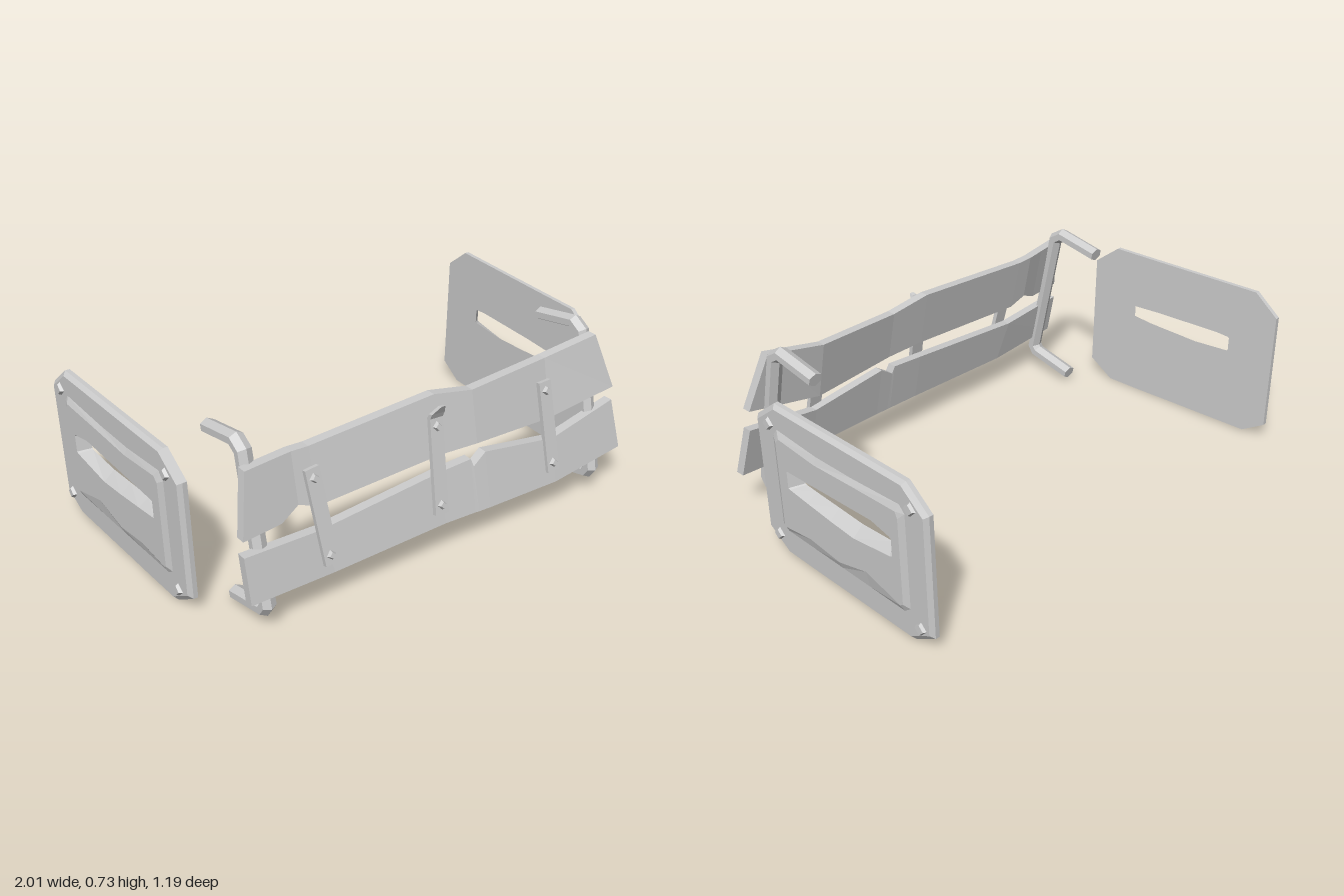
import * as THREE from 'three';

const material = new THREE.MeshStandardMaterial({ color: 0xcccccc, flatShading: true });

function part(name, geometry) {
  const mesh = new THREE.Mesh(geometry, material);
  mesh.name = name;
  return mesh;
}

// Joins rings of [x, y, z] points; rings run counter-clockwise seen from the advancing end
function loft(rings, capped = true) {
  const pos = [];
  const tri = (a, b, c) => pos.push(...a, ...b, ...c);
  for (let i = 0; i < rings.length - 1; i++) {
    const r = rings[i], s = rings[i + 1], n = r.length;
    for (let j = 0; j < n; j++) {
      const k = (j + 1) % n;
      tri(r[j], r[k], s[k]);
      tri(r[j], s[k], s[j]);
    }
  }
  if (capped) {
    const a = rings[0], b = rings[rings.length - 1];
    for (let j = 1; j < a.length - 1; j++) {
      tri(a[0], a[j + 1], a[j]);
      tri(b[0], b[j], b[j + 1]);
    }
  }
  const g = new THREE.BufferGeometry();
  g.setAttribute('position', new THREE.Float32BufferAttribute(pos, 3));
  g.computeVertexNormals();
  return g;
}

// Side plate outlines as [z, y]
const OUTLINE = [[.32, .07], [.21, 0], [.03, 0], [-.13, .002], [-.28, .003], [-.5, .005], [-.6, .065],
  [-.6, .56], [-.495, .645], [-.24, .643], [0, .641], [.21, .64], [.32, .555]];
const PANEL_BASE = [[.215, .135], [.185, .115], [.03, .115], [-.13, .115], [-.28, .115], [-.465, .115], [-.495, .14],
  [-.495, .525], [-.47, .552], [-.225, .537], [-.03, .533], [.19, .547], [.215, .515]];
const PANEL_TOP = [[.19, .147], [.18, .14], [.03, .16], [-.13, .145], [-.28, .185], [-.455, .14], [-.47, .15],
  [-.47, .5], [-.46, .525], [-.225, .515], [-.03, .505], [.17, .52], [.19, .5]];
const SLOT_OUT = [[.14, .33], [.13, .327], [.03, .317], [-.1, .305], [-.225, .297], [-.42, .325], [-.43, .33],
  [-.43, .4], [-.42, .406], [-.33, .425], [-.03, .41], [.13, .402], [.14, .4]];
const SLOT_IN = [[.095, .35], [.088, .348], [.03, .345], [-.1, .34], [-.225, .335], [-.385, .345], [-.39, .35],
  [-.39, .405], [-.385, .408], [-.33, .412], [-.03, .406], [.088, .4], [.095, .4]];

// The plate leans and toes slightly; w is the height above its inner face
const plateX = (z, y, w) => .916 + .022 * y + .037 * (.32 - z) + w;

function sidePlate() {
  const group = new THREE.Group();
  const ring = (pts, w) => pts.map(([z, y]) => [plateX(z, y, w), y, z]);
  const inset = OUTLINE.map(([z, y]) => [-.14 + (z + .14) * .966, .3225 + (y - .3225) * .955]);
  group.add(part('platePanel', loft([
    ring(OUTLINE, 0), ring(OUTLINE, .018), ring(inset, .033), ring(PANEL_BASE, .033),
    ring(PANEL_TOP, .045), ring(SLOT_OUT, .045), ring(SLOT_IN, 0), ring(OUTLINE, 0),
  ], false)));
  for (const [z, y] of [[.235, .555], [-.525, .56], [.245, .075], [-.545, .085]]) {
    const bolt = part('plateBolt', new THREE.CylinderGeometry(.02, .03, .016, 4));
    bolt.rotation.z = -Math.PI / 2;
    bolt.position.set(plateX(z, y, .037), y, z);
    group.add(bolt);
  }
  return group;
}

// C-shaped bracket: hexagonal rod swept with mitred corners along a [z, y] path
function bracket() {
  const path = [[.2, .665], [.388, .701], [.43, .675], [.548, .115], [.53, .088], [.335, .042]];
  const section = [[0, .027], [-.028, .013], [-.028, -.013], [0, -.027], [.028, -.013], [.028, .013]];
  const normal = i => {
    const dz = path[i + 1][0] - path[i][0], dy = path[i + 1][1] - path[i][1], l = Math.hypot(dz, dy);
    return new THREE.Vector2(-dy / l, dz / l); // (z, y)
  };
  const rings = path.map(([z, y], i) => {
    const a = normal(Math.max(i - 1, 0)), b = normal(Math.min(i, path.length - 2));
    const m = a.clone().add(b).normalize();
    m.divideScalar(m.dot(a));
    return section.map(([sx, sn]) => [.772 + sx, y + m.y * sn, z + m.x * sn]);
  });
  return part('bracketRod', loft(rings));
}

// Planks: stations of [top x, top y, bottom x, bottom y, bow]
const UPPER = [[-.81, .64, -.855, .405, .018], [-.69, .636, -.69, .405, 0], [-.61, .633, -.61, .44, -.012],
  [-.54, .63, -.535, .41, -.012], [0, .66, 0, .43, 0], [.17, .63, .17, .423, .006],
  [.545, .64, .545, .4, -.012], [.785, .68, .86, .45, .022]];
const LOWER = [[-.855, .34, -.855, .165, .005], [-.54, .32, -.5, .148, -.012], [0, .36, 0, .157, -.008],
  [.14, .367, .14, .154, -.003], [.15, .335, .155, .153, -.002], [.21, .375, .21, .152, 0],
  [.545, .325, .545, .145, .002], [.875, .38, .9, .175, -.006]];
const SLOPE = .205;
const backZ = y => .573 - SLOPE * y;

function plank(name, stations) {
  const depth = .038;
  return part(name, loft(stations.map(([xt, yt, xb, yb, bow]) => {
    const zt = backZ(yt) + bow, zb = backZ(yb) + bow;
    return [[xb, yb, zb + depth], [xb, yb, zb], [xt, yt, zt], [xt, yt, zt + depth]];
  })));
}

// Strap leaning from (x0, y0) at the foot to (x1, y1) at the head, with a bolt at each end
function strap(x0, y0, x1, y1) {
  const group = new THREE.Group();
  group.name = 'strap';
  const y = (y0 + y1) / 2, length = Math.hypot(x1 - x0, (y1 - y0) * Math.hypot(1, SLOPE));
  group.position.set((x0 + x1) / 2, y, backZ(y) + .045);
  group.rotation.set(-Math.atan(SLOPE), 0, -Math.atan2(x1 - x0, y1 - y0));
  group.add(part('strapBar', new THREE.BoxGeometry(.058, length, .018)));
  for (const s of [-1, 1]) {
    const bolt = part('strapBolt', new THREE.CylinderGeometry(.013, .02, .014, 4));
    bolt.rotation.x = Math.PI / 2;
    bolt.position.set(0, s * (length / 2 - .037), .015);
    group.add(bolt);
  }
  return { group, length };
}

export function createModel() {
  const model = new THREE.Group();
  model.name = 'bumper';
  for (const side of [1, -1]) {
    const plate = sidePlate();
    plate.name = side > 0 ? 'leftPlate' : 'rightPlate';
    plate.scale.x = side;
    const rod = bracket();
    rod.name = side > 0 ? 'leftBracket' : 'rightBracket';
    rod.scale.x = side;
    model.add(plate, rod);
  }
  model.add(plank('upperPlank', UPPER), plank('lowerPlank', LOWER));
  model.add(strap(-.522, .2, -.553, .565).group, strap(.526, .2, .515, .565).group);

  // Middle strap with a pointed tip curling away from the plank
  const { group: middle, length } = strap(-.03, .215, -.012, .585);
  const h = length / 2;
  const tip = (x, y, z) => [[x - .029, h + y, z + .009], [x + .029, h + y, z + .009],
    [x + .029, h + y, z - .009], [x - .029, h + y, z - .009]];
  const point = tip(.006, .045, .038).map(([x, y, z]) => [.006 + (x - .006) * .3, y, z]);
  middle.add(part('strapTip', loft([tip(0, -.005, 0), tip(0, .015, .014), point])));
  model.add(middle);
  return model;
}
